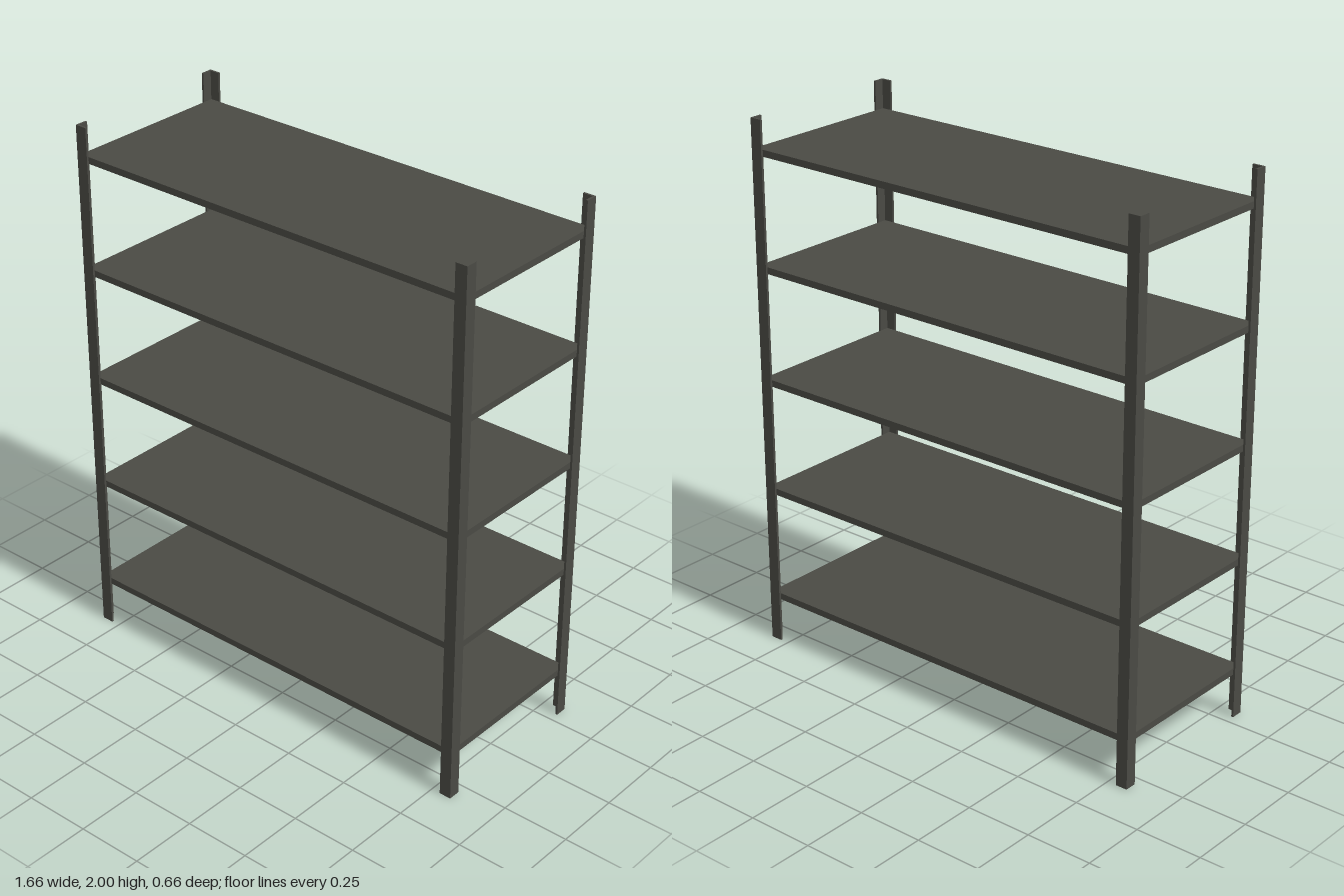
import * as THREE from 'three';

const HX = 0.829, HZ = 0.331; // outer half sizes
const LEG = 0.045, T = 0.008; // angle-iron leg width and thickness

export function createModel() {
  const model = new THREE.Group();
  model.name = 'shelvingRack';
  const steel = new THREE.MeshStandardMaterial({ color: 0x4a4a44 });
  steel.name = 'darkGreySteel';

  // Corner posts: L-shaped angle section, outer corner at the rack's corner
  for (const sx of [-1, 1]) {
    for (const sz of [-1, 1]) {
      const section = new THREE.Shape(
        [[0, 0], [LEG, 0], [LEG, T], [T, T], [T, LEG], [0, LEG]].map(
          ([a, b]) => new THREE.Vector2(sx * (HX - a), -sz * (HZ - b))
        )
      );
      const geometry = new THREE.ExtrudeGeometry(section, { depth: 2, bevelEnabled: false });
      geometry.rotateX(-Math.PI / 2);
      const post = new THREE.Mesh(geometry, steel);
      post.name = (sz > 0 ? 'front' : 'back') + (sx > 0 ? 'Left' : 'Right') + 'Post';
      model.add(post);
    }
  }

  // Five evenly spaced shelves nested inside the posts
  const shelfGeometry = new THREE.BoxGeometry(2 * (HX - T), 0.025, 2 * (HZ - T));
  for (let i = 0; i < 5; i++) {
    const shelf = new THREE.Mesh(shelfGeometry, steel);
    shelf.name = `shelf${i + 1}`;
    shelf.position.y = 0.18 + i * 0.425;
    model.add(shelf);
  }
  return model;
}
